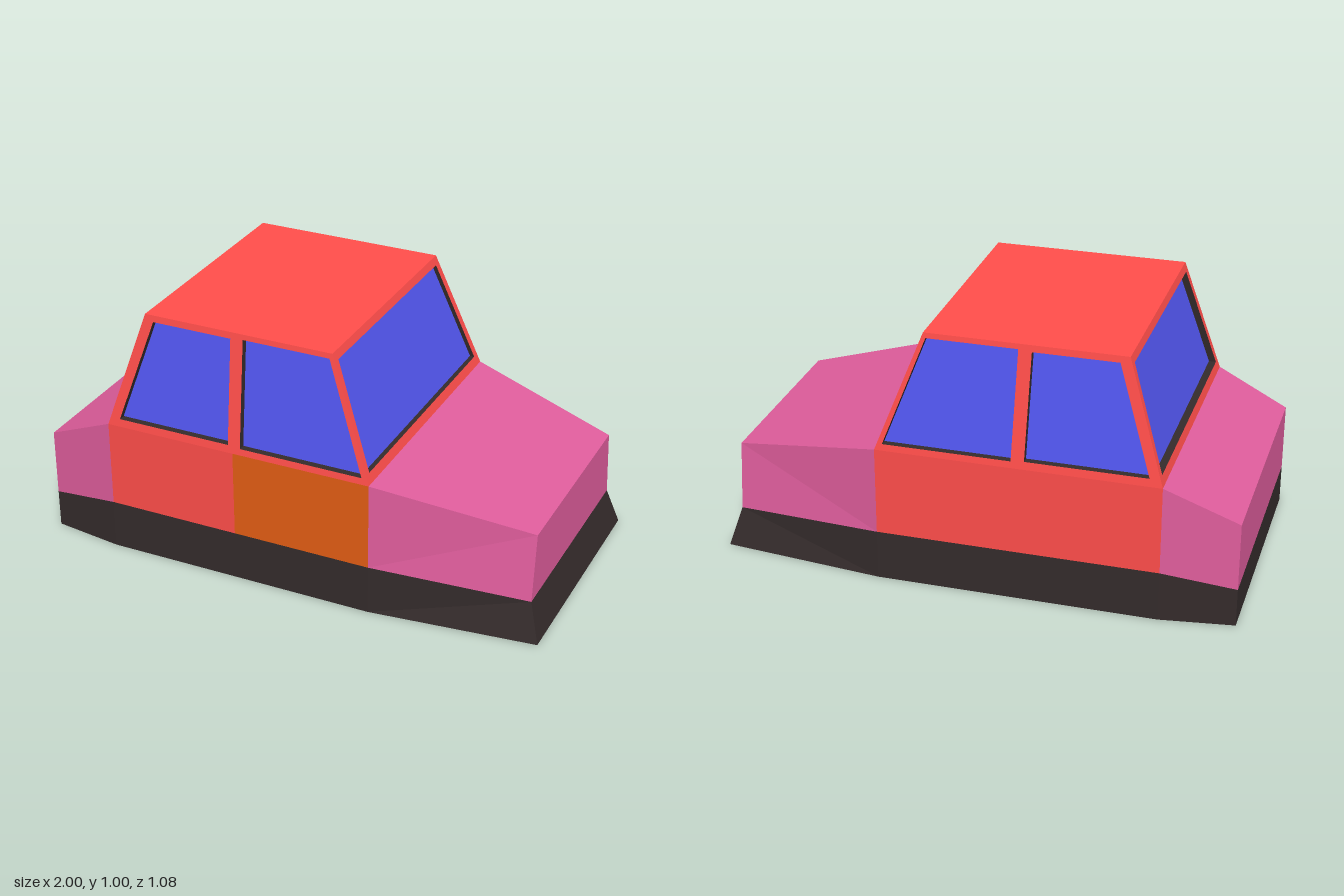
import * as THREE from 'three';

const mat = (color) => new THREE.MeshStandardMaterial({ color, flatShading: true, side: THREE.DoubleSide });
const paint = {
  red: mat(0xff4d4a), pink: mat(0xdf5d9c), orange: mat(0xe35d14),
  blue: mat(0x5256f0), black: mat(0x342b2b),
};
const CENTRE = new THREE.Vector3(0, 0.4, 0);

// Faceted mesh from four-cornered faces, each turned to point away from the centre
function faces(name, material, quads) {
  const points = [];
  for (const q of quads) {
    const [a, b, c, d] = q.map((p) => new THREE.Vector3(...p));
    const normal = c.clone().sub(a).cross(d.clone().sub(b));
    const middle = a.clone().add(b).add(c).add(d).multiplyScalar(0.25);
    const outward = normal.dot(middle.sub(CENTRE)) >= 0;
    points.push(...(outward ? [a, b, c, a, c, d] : [a, c, b, a, d, c]));
  }
  const geometry = new THREE.BufferGeometry().setFromPoints(points);
  geometry.computeVertexNormals();
  const mesh = new THREE.Mesh(geometry, material);
  mesh.name = name;
  return mesh;
}

// Body stations from the boot to the bonnet: x at sill and above, half widths, heights
const stations = [
  { xb: -1, x: -1, zb: 0.5, zm: 0.5, zt: 0.5, ym: 0.15, yt: 0.415 },
  { xb: -0.72, x: -0.72, zb: 0.54, zm: 0.54, zt: 0.54, ym: 0.195, yt: 0.54 },
  { xb: -0.19, x: -0.19, zb: 0.54, zm: 0.54, zt: 0.54, ym: 0.195, yt: 0.54 },
  { xb: 0.36, x: 0.36, zb: 0.54, zm: 0.54, zt: 0.54, ym: 0.195, yt: 0.54 },
  { xb: 1, x: 0.955, zb: 0.47, zm: 0.43, zt: 0.4, ym: 0.15, yt: 0.415 },
];
const low = (s, k) => [s.xb, 0, k * s.zb];
const mid = (s, k) => [s.x, s.ym, k * s.zm];
const top = (s, k) => [s.x, s.yt, k * s.zt];
const side = (a, b, f, g, k) => [f(a, k), f(b, k), g(b, k), g(a, k)];
const across = (a, b, f, g) => [f(a, 1), g(b, 1), g(b, -1), f(a, -1)];

function buildBody() {
  const body = new THREE.Group();
  body.name = 'body';
  const [rear, s1, s2, s3, nose] = stations;
  const skirt = [across(rear, rear, low, mid), across(nose, nose, low, mid)];
  const floor = [];
  for (let i = 0; i < 4; i++) {
    for (const k of [1, -1]) skirt.push(side(stations[i], stations[i + 1], low, mid, k));
    floor.push(across(stations[i], stations[i + 1], low, low));
  }
  // End box: two wings, lid and end face
  const endBox = (name, a, b, end) => faces(name, paint.pink, [
    side(a, b, mid, top, 1), side(a, b, mid, top, -1),
    across(a, b, top, top), across(end, end, mid, top),
  ]);
  body.add(
    faces('skirt', paint.black, skirt),
    faces('underside', paint.pink, floor),
    endBox('boot', rear, s1, rear),
    endBox('bonnet', s3, nose, nose),
    faces('doorPanels', paint.red, [
      side(s1, s2, mid, top, 1), side(s1, s2, mid, top, -1), side(s2, s3, mid, top, -1),
    ]),
    faces('orangeDoor', paint.orange, [side(s2, s3, mid, top, 1)]),
  );
  return body;
}

// Cabin wall: a frame with window openings, dark reveals and recessed glass.
// place(u, y, depth) maps a flat outline point onto the sloping wall.
function cabinWall(name, outline, windows, depth, place) {
  const wall = new THREE.Group();
  wall.name = name;
  const vec = (list) => list.map(([u, y]) => new THREE.Vector2(u, y));
  const shape = new THREE.Shape(vec(outline));
  shape.holes = windows.map((w) => new THREE.Path(vec(w)));
  const geometry = new THREE.ShapeGeometry(shape);
  const pos = geometry.attributes.position;
  for (let i = 0; i < pos.count; i++) pos.setXYZ(i, ...place(pos.getX(i), pos.getY(i), 0));
  // Turn the frame to face outward where the mapping mirrors it
  geometry.computeVertexNormals();
  const n = new THREE.Vector3().fromBufferAttribute(geometry.attributes.normal, 0);
  const p = new THREE.Vector3().fromBufferAttribute(pos, 0).sub(CENTRE);
  if (n.dot(p) < 0) {
    geometry.index.array.reverse();
    geometry.computeVertexNormals();
  }
  const frame = new THREE.Mesh(geometry, paint.red);
  frame.name = 'windowFrame';
  const reveals = [];
  for (const w of windows) {
    w.forEach((a, i) => {
      const b = w[(i + 1) % w.length];
      reveals.push([place(...a, 0), place(...b, 0), place(...b, depth), place(...a, depth)]);
    });
  }
  wall.add(
    frame,
    faces('windowReveal', paint.black, reveals),
    faces('glass', paint.blue, windows.map((w) => w.map((q) => place(...q, depth)))),
  );
  return wall;
}

function buildCabin() {
  const cabin = new THREE.Group();
  cabin.name = 'cabin';
  const slope = (y, a, b) => a + (b - a) * (y - 0.54) / 0.46;

  const sideOutline = [[-0.72, 0.54], [0.36, 0.54], [0.185, 1], [-0.575, 1]];
  const sideWindows = [
    [[-0.67, 0.57], [-0.21, 0.57], [-0.22, 0.975], [-0.54, 0.975]],
    [[-0.16, 0.565], [0.33, 0.565], [0.175, 0.98], [-0.17, 0.98]],
  ];
  for (const k of [1, -1]) {
    cabin.add(cabinWall(k > 0 ? 'frontSide' : 'backSide', sideOutline, sideWindows, 0.027,
      (u, y, d) => [u, y, k * (slope(y, 0.54, 0.47) - d)]));
  }

  const endOutline = [[-0.54, 0.54], [0.54, 0.54], [0.47, 1], [-0.47, 1]];
  const endWindow = [[[-0.505, 0.575], [0.505, 0.575], [0.445, 0.97], [-0.445, 0.97]]];
  cabin.add(
    cabinWall('windscreen', endOutline, endWindow, 0.018,
      (u, y, d) => [slope(y, 0.36, 0.185) - d, y, u]),
    cabinWall('rearWindow', endOutline, endWindow, 0.028,
      (u, y, d) => [slope(y, -0.72, -0.575) + d, y, u]),
    faces('roof', paint.red, [
      [[-0.575, 1, 0.47], [0.185, 1, 0.47], [0.185, 1, -0.47], [-0.575, 1, -0.47]],
    ]),
  );
  return cabin;
}

export function createModel() {
  const car = new THREE.Group();
  car.name = 'car';
  car.add(buildBody(), buildCabin());
  return car;
}
